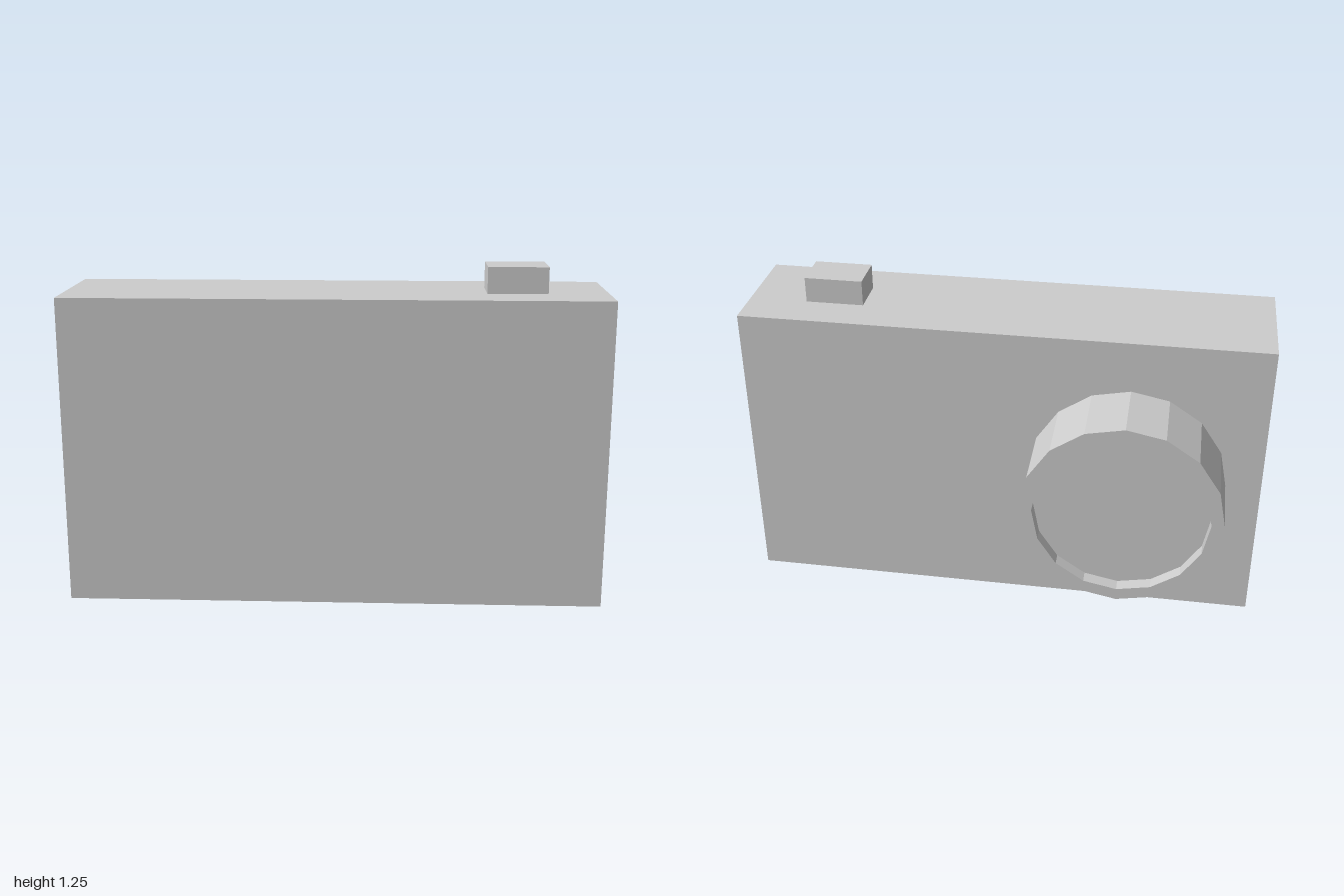
import * as THREE from 'three';

const material = new THREE.MeshStandardMaterial({ color: 0xcccccc, flatShading: true });

// Box given by its minimum and maximum corners
function box(name, min, max) {
  const size = max.map((v, i) => v - min[i]);
  const mesh = new THREE.Mesh(new THREE.BoxGeometry(...size), material);
  mesh.position.set(...max.map((v, i) => (v + min[i]) / 2));
  mesh.name = name;
  return mesh;
}

export function createModel() {
  const group = new THREE.Group();
  group.name = 'camera';

  // Flat body and the shutter button on its top
  group.add(box('body', [-1, 0, -0.1], [1, 1.152, 0.375]));
  group.add(box('shutterButton', [0.555, 1.152, 0.06], [0.777, 1.25, 0.218]));

  // 16-sided lens barrel with a raised rim around a shallow recess
  const profile = [
    [0.378, 0], [0.378, 0.275], [0.33, 0.275], [0.33, 0.225], [0, 0.225],
  ].map(([r, h]) => new THREE.Vector2(r, h));
  const geometry = new THREE.LatheGeometry(profile, 16);
  geometry.rotateX(-Math.PI / 2);
  const lens = new THREE.Mesh(geometry, material);
  lens.name = 'lens';
  lens.position.set(-0.488, 0.577, -0.1);
  group.add(lens);

  return group;
}
